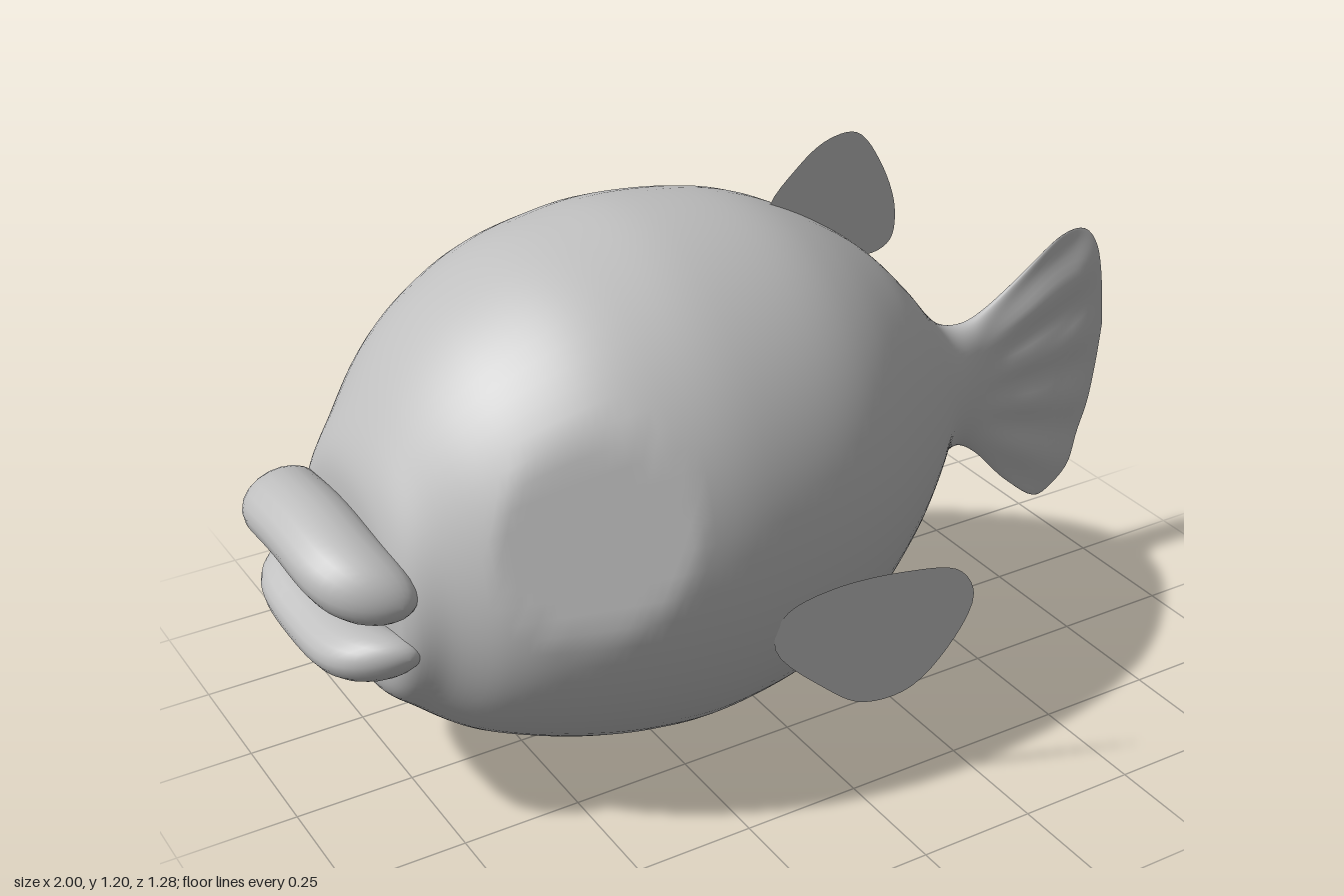
import * as THREE from 'three';

const grey = new THREE.MeshStandardMaterial({ color: 0xbfbfbf });
grey.name = 'fish grey';
const finGrey = new THREE.MeshStandardMaterial({ color: 0xbfbfbf, side: THREE.DoubleSide });
finGrey.name = 'fin grey';

// Closed tube of rings: point(t, angle) returns [x, y, z]
function loft(rows, sides, point) {
  const pos = [], index = [];
  for (let i = 0; i <= rows; i++) {
    for (let j = 0; j < sides; j++) pos.push(...point(i / rows, (j / sides) * Math.PI * 2));
  }
  for (let i = 0; i < rows; i++) {
    for (let j = 0; j < sides; j++) {
      const a = i * sides + j, b = i * sides + ((j + 1) % sides);
      index.push(a, b, a + sides, b, b + sides, a + sides);
    }
  }
  const g = new THREE.BufferGeometry();
  g.setAttribute('position', new THREE.Float32BufferAttribute(pos, 3));
  g.setIndex(index);
  g.computeVertexNormals();
  return g;
}

function addMesh(group, name, geometry, material) {
  const m = new THREE.Mesh(geometry, material);
  m.name = name;
  group.add(m);
  return m;
}

// Body and tail stations: x, top, bottom, half width
const stations = [
  [-0.85, 0.53, 0.53, 0], [-0.845, 0.66, 0.39, 0.19], [-0.83, 0.76, 0.29, 0.25],
  [-0.77, 0.86, 0.23, 0.30], [-0.69, 0.955, 0.17, 0.38], [-0.6, 1.03, 0.13, 0.44],
  [-0.48, 1.095, 0.09, 0.49], [-0.35, 1.13, 0.06, 0.513], [-0.2, 1.145, 0.045, 0.513],
  [0, 1.12, 0.07, 0.48], [0.15, 1.06, 0.13, 0.42], [0.3, 0.96, 0.22, 0.315],
  [0.4, 0.86, 0.31, 0.23], [0.48, 0.765, 0.38, 0.15], [0.54, 0.71, 0.4, 0.095],
  [0.6, 0.695, 0.4, 0.06], [0.66, 0.715, 0.36, 0.04], [0.75, 0.77, 0.265, 0.028],
  [0.85, 0.84, 0.195, 0.018], [0.92, 0.85, 0.255, 0.012], [0.96, 0.815, 0.36, 0.008],
  [0.985, 0.73, 0.47, 0.005], [1, 0.6, 0.6, 0],
];
const [top, bottom, width] = [1, 2, 3].map(
  (k) => new THREE.SplineCurve(stations.map((s) => new THREE.Vector2(s[0], s[k]))));

// Flat eye discs are planes pressed into the cheeks
const eyeNormal = new THREE.Vector3(-0.4, 0.25, 0.88).normalize();
const eyeDepth = eyeNormal.dot(new THREE.Vector3(-0.5, 0.73, 0.472)) - 0.038;

function bodyPoint(t, a) {
  const p = top.getPoint(t), lo = bottom.getPoint(t).y, w = Math.max(0, width.getPoint(t).y);
  const half = (p.y - lo) / 2;
  const v = new THREE.Vector3(p.x, lo + half + half * Math.cos(a), w * Math.sin(a));
  // Press in the eyes on both sides
  const side = v.z < 0 ? -1 : 1;
  v.z *= side;
  const over = eyeNormal.dot(v) - eyeDepth;
  if (over > 0 && v.x < 0 && v.x > -0.78) v.addScaledVector(eyeNormal, -over);
  v.z *= side;
  // Rays of the tail fan out from its stalk
  const fan = THREE.MathUtils.smoothstep(v.x, 0.62, 0.8) * (1 - THREE.MathUtils.smoothstep(v.x, 0.9, 1));
  v.z += 0.006 * fan * Math.sin(22 * Math.atan2(v.y - 0.55, v.x - 0.4));
  return [v.x, v.y, v.z];
}

// Lip: a fat curved roll across the mouth, tapering to the corners
function lip(cx, cy, rx, ry, half, droop) {
  return loft(32, 20, (t, a) => {
    const s = -Math.cos(t * Math.PI);
    const r = Math.sqrt(Math.max(0, 1 - s ** 6));
    return [cx + 0.06 * s ** 4 + rx * r * Math.cos(a), cy + droop * s * s + ry * r * Math.sin(a), half * s];
  });
}

// Thin fin with a smooth closed outline
function fin(points) {
  const curve = new THREE.CatmullRomCurve3(points.map(([x, y]) => new THREE.Vector3(x, y, 0)), true);
  return new THREE.ShapeGeometry(new THREE.Shape(curve.getPoints(48).slice(0, -1).map((p) => new THREE.Vector2(p.x, p.y))));
}

export function createModel() {
  const fish = new THREE.Group();
  fish.name = 'fish';
  addMesh(fish, 'bodyAndTail', loft(132, 72, bodyPoint), grey);
  addMesh(fish, 'upperLip', lip(-0.91, 0.64, 0.09, 0.07, 0.27, -0.05), grey);
  addMesh(fish, 'lowerLip', lip(-0.9, 0.44, 0.08, 0.056, 0.26, 0.03), grey);

  // Fins on the centre line
  addMesh(fish, 'dorsalFin', fin([[0.1, 1.065], [0.17, 1.15], [0.24, 1.193], [0.31, 1.195],
    [0.37, 1.12], [0.41, 1.01], [0.4, 0.94], [0.34, 0.92], [0.22, 0.98]]), finGrey);
  addMesh(fish, 'analFin', fin([[0.09, 0.105], [0.18, 0.035], [0.27, 0.005], [0.35, 0.04],
    [0.41, 0.14], [0.41, 0.2], [0.36, 0.215], [0.28, 0.22], [0.18, 0.17]]), finGrey);

  // Side fins flare outward toward the tail
  for (const side of [1, -1]) {
    const g = fin([[-0.18, 0.39], [-0.17, 0.48], [-0.09, 0.535], [0.04, 0.562], [0.13, 0.555],
      [0.17, 0.49], [0.145, 0.36], [0.08, 0.25], [0, 0.228], [-0.08, 0.28]]);
    const p = g.attributes.position;
    for (let i = 0; i < p.count; i++) {
      p.setZ(i, side * (0.48 + 0.394 * (p.getX(i) + 0.18) + 0.2 * (p.getY(i) - 0.39)));
    }
    g.computeVertexNormals();
    addMesh(fish, side > 0 ? 'leftSideFin' : 'rightSideFin', g, finGrey);
  }
  return fish;
}
